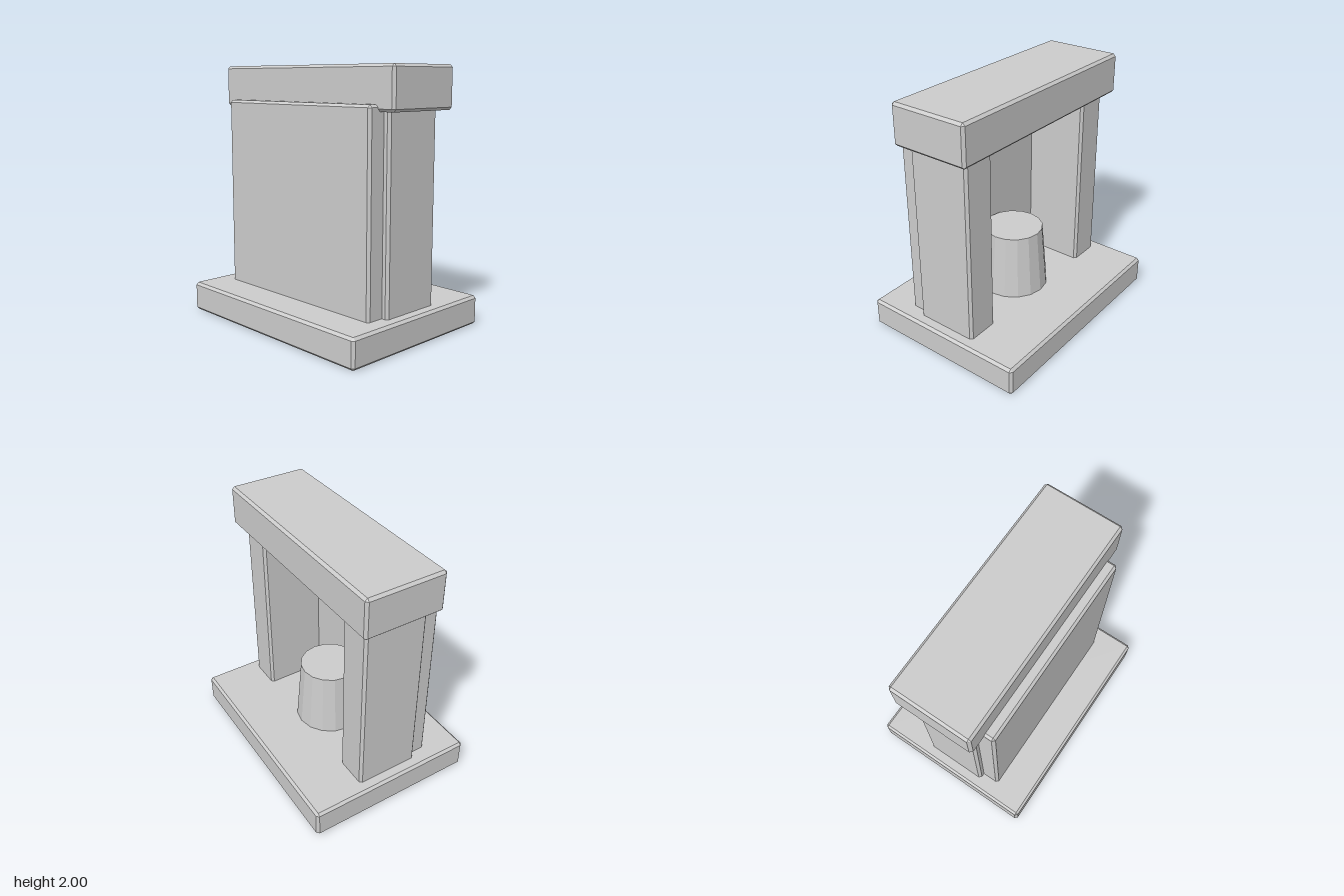
import * as THREE from 'three';
import { ConvexGeometry } from 'three/addons/geometries/ConvexGeometry.js';

const BEVEL = 0.02;

// Box given by its limits, with every edge and corner chamfered
function chamferBox(name, material, [x0, x1], [y0, y1], [z0, z1]) {
  const half = [(x1 - x0) / 2, (y1 - y0) / 2, (z1 - z0) / 2];
  const points = [];
  for (const sx of [-1, 1]) for (const sy of [-1, 1]) for (const sz of [-1, 1]) {
    const sign = [sx, sy, sz];
    // each corner becomes three points, one on each adjoining face
    for (let face = 0; face < 3; face++) {
      const c = half.map((h, i) => sign[i] * (i === face ? h : h - BEVEL));
      points.push(new THREE.Vector3(...c));
    }
  }
  const mesh = new THREE.Mesh(new ConvexGeometry(points), material);
  mesh.name = name;
  mesh.position.set((x0 + x1) / 2, (y0 + y1) / 2, (z0 + z1) / 2);
  return mesh;
}

export function createModel() {
  const group = new THREE.Group();
  group.name = 'shrine';
  const grey = new THREE.MeshStandardMaterial({ color: 0xcccccc, flatShading: true });

  // Base slab and top lintel
  group.add(chamferBox('base', grey, [-0.92, 0.92], [0, 0.23], [-0.69, 0.69]));
  group.add(chamferBox('lintel', grey, [-0.92, 0.92], [1.68, 2], [-0.32, 0.32]));

  // Two pillars, let into the base and the lintel
  group.add(chamferBox('leftPillar', grey, [0.56, 0.83], [0.2, 1.71], [-0.25, 0.26]));
  group.add(chamferBox('rightPillar', grey, [-0.83, -0.56], [0.2, 1.71], [-0.25, 0.26]));

  // Panel closing the front
  group.add(chamferBox('frontPanel', grey, [-0.78, 0.78], [0.2, 1.73], [0.24, 0.4]));

  // Tapered pedestal standing in the open niche
  const pedestal = new THREE.Mesh(new THREE.CylinderGeometry(0.235, 0.28, 0.54, 16), grey);
  pedestal.name = 'pedestal';
  pedestal.position.set(0, 0.475, 0);
  group.add(pedestal);

  return group;
}
